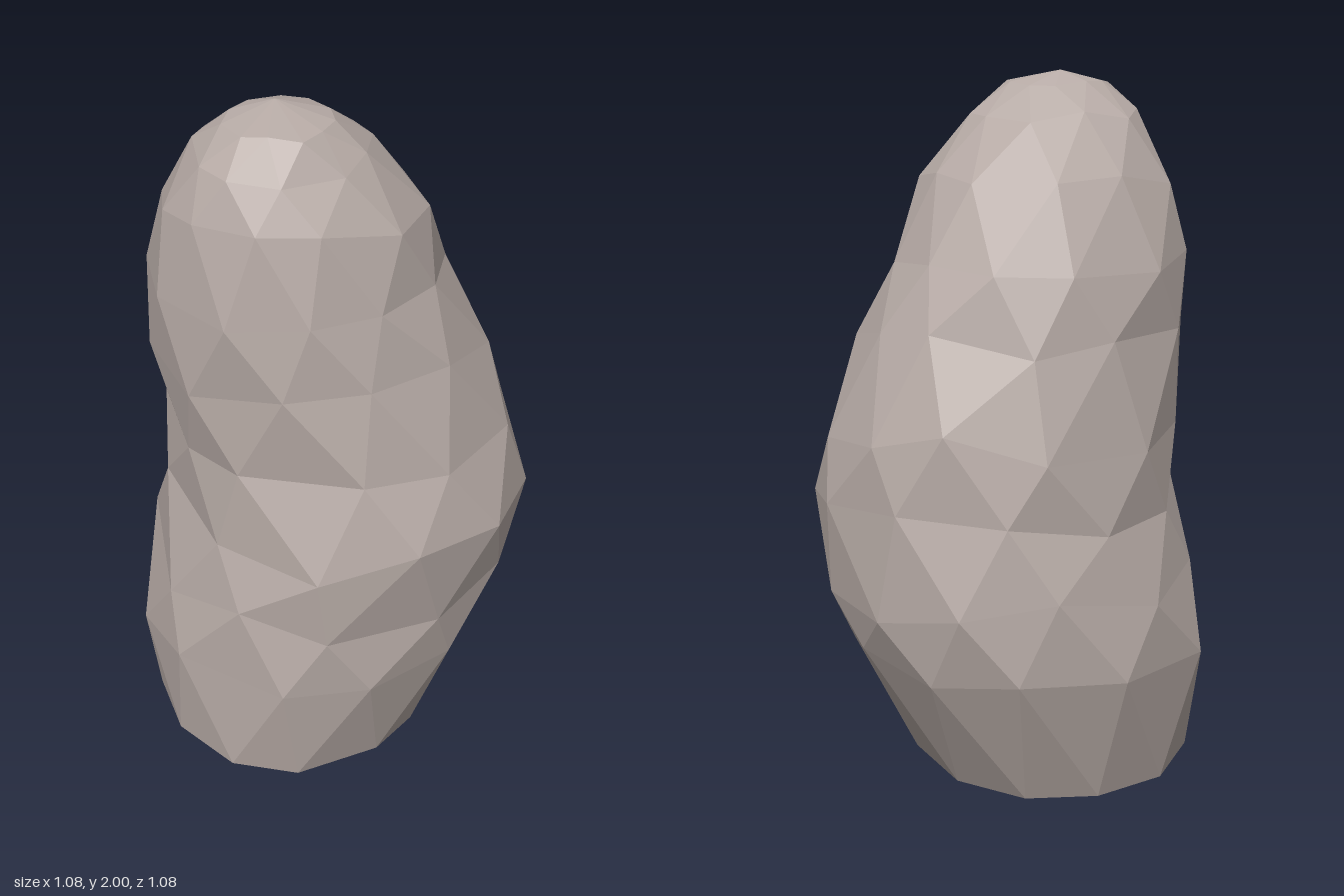
import * as THREE from 'three';

// Small seeded generator, returns -1..1
function makeNoise(seed) {
  let s = seed;
  return () => {
    s = (s * 16807) % 2147483647;
    return (s / 2147483647) * 2 - 1;
  };
}

const SIDES = 11;

// Outline by height: y, x min, x max, z back, z front (last row is the peak)
const PROFILE = [
  [0.00, -0.43, 0.36, -0.27, 0.51],
  [0.36, -0.55, 0.46, -0.47, 0.545],
  [0.56, -0.52, 0.50, -0.535, 0.515],
  [0.79, -0.488, 0.545, -0.542, 0.465],
  [1.04, -0.458, 0.49, -0.51, 0.455],
  [1.16, -0.447, 0.455, -0.48, 0.49],
  [1.40, -0.42, 0.40, -0.37, 0.51],
  [1.70, -0.335, 0.355, -0.22, 0.487],
  [1.87, -0.22, 0.265, -0.09, 0.42],
  [1.965, -0.11, 0.20, 0.04, 0.33],
  [2.00, 0, 0, 0.17, 0.17],
];
const LEVELS = [0, 0.36, 0.58, 0.8, 1.04, 1.3, 1.52, 1.73, 1.88, 1.965];

// Hollows between the lumps: centre, radius, depth
const DENTS = [
  [new THREE.Vector3(0.36, 1.2, 0.3), 0.25, 0.05],
  [new THREE.Vector3(0.25, 1.47, -0.22), 0.2, 0.04],
];

// Outline interpolated at any height
function outlineAt(y) {
  const k = Math.max(1, PROFILE.findIndex((row) => row[0] >= y));
  const a = PROFILE[k - 1], b = PROFILE[k];
  const t = (y - a[0]) / (b[0] - a[0]);
  return a.slice(1).map((v, i) => THREE.MathUtils.lerp(v, b[i + 1], t));
}

// One uneven ring whose corners all lie on the outline
function makeRing(y, level, noise) {
  const ring = [];
  for (let i = 0; i < SIDES; i++) {
    const a = ((i + (level % 2) * 0.5 + noise() * 0.15) / SIDES) * Math.PI * 2;
    const c = Math.cos(a), s = Math.sin(a);
    const r = (Math.abs(c) ** 2.2 + Math.abs(s) ** 2.2) ** (-1 / 2.2);
    const lift = level === 0 ? 0 : noise() * Math.min(0.05, (2 - y) * 0.16);
    ring.push(new THREE.Vector3(c * r, y + lift, s * r));
  }
  const box = new THREE.Box3().setFromPoints(ring);
  for (const p of ring) {
    const [x0, x1, z0, z1] = outlineAt(p.y);
    p.x = THREE.MathUtils.mapLinear(p.x, box.min.x, box.max.x, x0, x1);
    p.z = THREE.MathUtils.mapLinear(p.z, box.min.z, box.max.z, z0, z1);
    const axis = new THREE.Vector3((x0 + x1) / 2, p.y, (z0 + z1) / 2);
    for (const [centre, radius, depth] of DENTS) {
      const d = p.distanceTo(centre);
      if (d < radius) p.addScaledVector(axis.clone().sub(p).normalize(), depth * (1 - d / radius));
    }
  }
  return ring;
}

function makeBoulderGeometry() {
  const noise = makeNoise(9173);
  const rings = LEVELS.map((y, level) => makeRing(y, level, noise));
  const pos = [];
  const tri = (...pts) => pts.forEach((p) => pos.push(p.x, p.y, p.z));

  // Staggered triangle bands
  for (let j = 0; j < rings.length - 1; j++) {
    const lo = rings[j], up = rings[j + 1];
    for (let i = 0; i < SIDES; i++) {
      const n = (i + 1) % SIDES;
      if (j % 2 === 0) {
        tri(lo[i], up[i], lo[n]);
        tri(up[i], up[n], lo[n]);
      } else {
        tri(lo[i], up[n], lo[n]);
        tri(up[i], up[n], lo[i]);
      }
    }
  }

  // Peak and flat underside
  const peak = new THREE.Vector3(0, 2, 0.17);
  const base = new THREE.Vector3(-0.04, 0, 0.12);
  const last = rings[rings.length - 1];
  for (let i = 0; i < SIDES; i++) {
    const n = (i + 1) % SIDES;
    tri(last[i], peak, last[n]);
    tri(rings[0][i], rings[0][n], base);
  }

  const geo = new THREE.BufferGeometry();
  geo.setAttribute('position', new THREE.Float32BufferAttribute(pos, 3));
  geo.computeVertexNormals();
  return geo;
}

export function createModel() {
  const group = new THREE.Group();
  group.name = 'rock';
  const stone = new THREE.MeshStandardMaterial({ color: 0xb8aca7, flatShading: true });
  const boulder = new THREE.Mesh(makeBoulderGeometry(), stone);
  boulder.name = 'boulder';
  group.add(boulder);
  return group;
}
